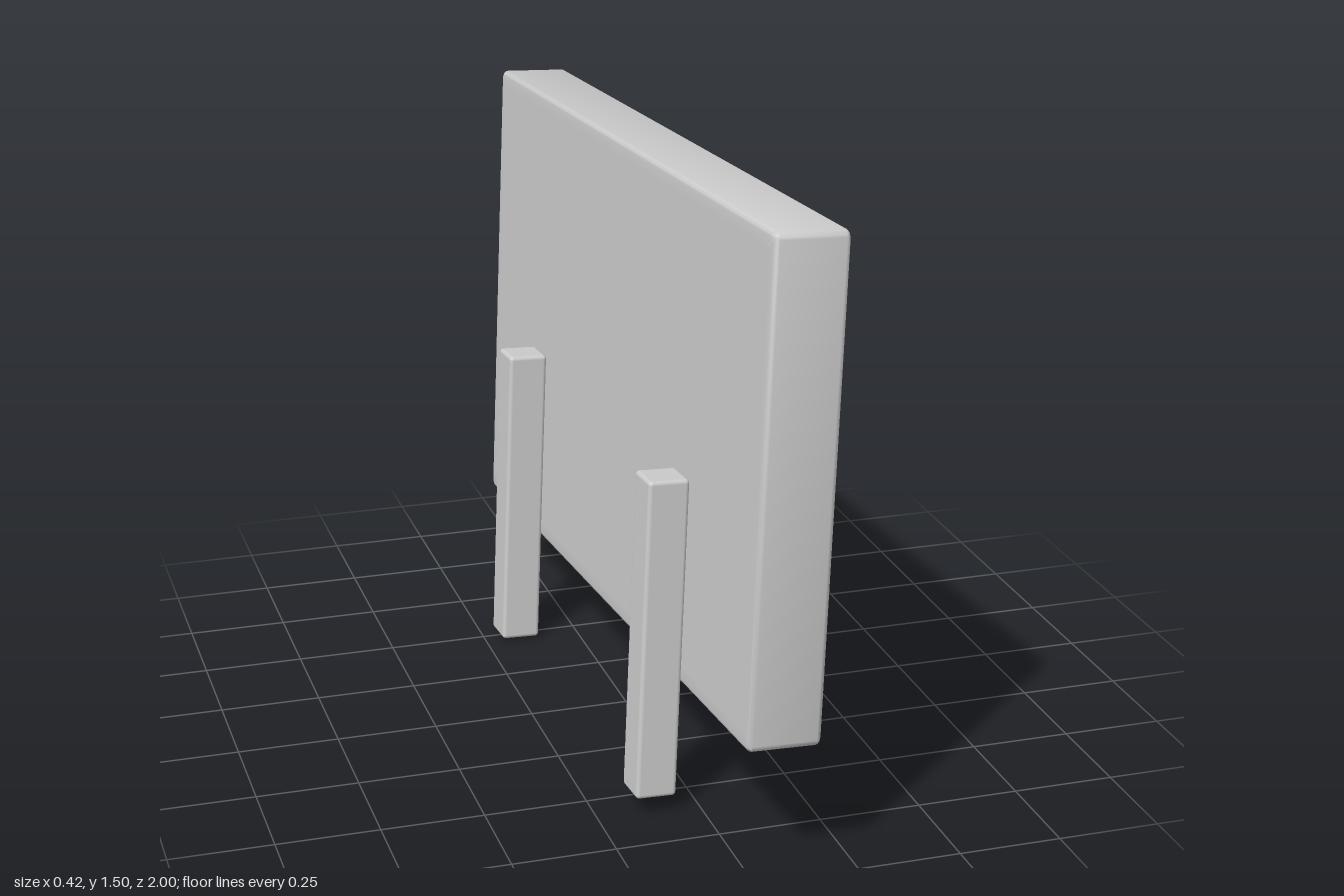
import * as THREE from 'three';
import { toCreasedNormals } from 'three/addons/utils/BufferGeometryUtils.js';
import { RoundedBoxGeometry } from 'three/addons/geometries/RoundedBoxGeometry.js';

const WIDTH = 1.955, HEIGHT = 1.18, DEPTH = 0.176;
const RIM = 0.054;        // width of the frame's front rim
const ROUND = 0.012;      // edge rounding
const FLOOR = -0.04;      // depth position of the recessed screen

// Rounded rectangle in the yz plane at depth x, pulled in by inset
function ring(x, inset, radius) {
  const h = HEIGHT / 2 - inset - radius, w = WIDTH / 2 - inset - radius;
  const points = [];
  [[1, 1], [-1, 1], [-1, -1], [1, -1]].forEach(([sy, sz], corner) => {
    for (let i = 0; i <= 4; i++) {
      const a = (corner + i / 4) * Math.PI / 2;
      points.push(new THREE.Vector3(x, sy * h + radius * Math.cos(a), sz * w + radius * Math.sin(a)));
    }
  });
  return points;
}

// Skin through a series of rings, with an optional flat cap at either end
function loft(rings, capStart, capEnd) {
  const pos = [];
  const tri = (...v) => v.forEach((p) => pos.push(p.x, p.y, p.z));
  const n = rings[0].length;
  for (let k = 0; k < rings.length - 1; k++) {
    for (let i = 0; i < n; i++) {
      const j = (i + 1) % n;
      tri(rings[k][i], rings[k][j], rings[k + 1][j]);
      tri(rings[k][i], rings[k + 1][j], rings[k + 1][i]);
    }
  }
  const first = rings[0], last = rings[rings.length - 1];
  for (let i = 0; i < n; i++) {
    const j = (i + 1) % n;
    if (capStart) tri(new THREE.Vector3(first[0].x, 0, 0), first[j], first[i]);
    if (capEnd) tri(new THREE.Vector3(last[0].x, 0, 0), last[i], last[j]);
  }
  const geometry = new THREE.BufferGeometry();
  geometry.setAttribute('position', new THREE.Float32BufferAttribute(pos, 3));
  return toCreasedNormals(geometry, 0.7);
}

// Quarter-round run of rings about a centre given in (depth, inset)
function roundEdge(cx, cInset, from, to, cornerRadius, r = ROUND) {
  return [0, 1, 2, 3, 4].map((i) => {
    const a = THREE.MathUtils.lerp(from, to, i / 4);
    return ring(cx + r * Math.sin(a), cInset - r * Math.cos(a), cornerRadius);
  });
}

export function createModel() {
  const material = new THREE.MeshStandardMaterial({ color: 0xcccccc });
  const model = new THREE.Group();
  model.name = 'displayBoard';

  // Upright board facing +x, then tilted slightly as a whole
  const board = new THREE.Group();
  board.name = 'tiltedBoard';
  board.position.set(0.053, 0.878, 0);
  board.setRotationFromMatrix(new THREE.Matrix4().makeBasis(
    new THREE.Vector3(0.998, -0.051, -0.042),
    new THREE.Vector3(0.0495, 0.998, -0.038),
    new THREE.Vector3(0.0435, 0.036, 0.998)));
  model.add(board);

  const add = (name, geometry, x = 0, y = 0, z = 0) => {
    const mesh = new THREE.Mesh(geometry, material);
    mesh.name = name;
    mesh.position.set(x, y, z);
    board.add(mesh);
  };

  // Frame: closed back, rounded outer edges, front rim and upper inner wall
  const half = DEPTH / 2, q = Math.PI / 2, seam = 0.016;
  add('frame', loft([
    ring(-half, 0.04, 0.016),
    ...roundEdge(-half + ROUND, ROUND, -q, 0, 0.016),
    ...roundEdge(half - ROUND, ROUND, 0, q, 0.016),
    ...roundEdge(half - ROUND, RIM - ROUND, q, 2 * q, 0.006),
    ring(seam, RIM, 0.006),
  ], true, false));

  // Screen tray: lower inner wall with a soft corner into the flat screen
  const soft = 0.012;
  add('screen', loft([
    ring(seam, RIM, 0.006),
    ...roundEdge(FLOOR + soft, RIM + soft, 0, -q, 0.006, soft),
    ring(FLOOR, RIM + 0.03, 0.006),
  ], false, true));

  // Two posts behind the board
  for (const [name, side] of [['leftPost', 1], ['rightPost', -1]]) {
    add(name, new RoundedBoxGeometry(0.1, 0.786, 0.1, 3, 0.01), -0.147, -0.471, side * 0.534 - 0.007);
  }
  return model;
}
